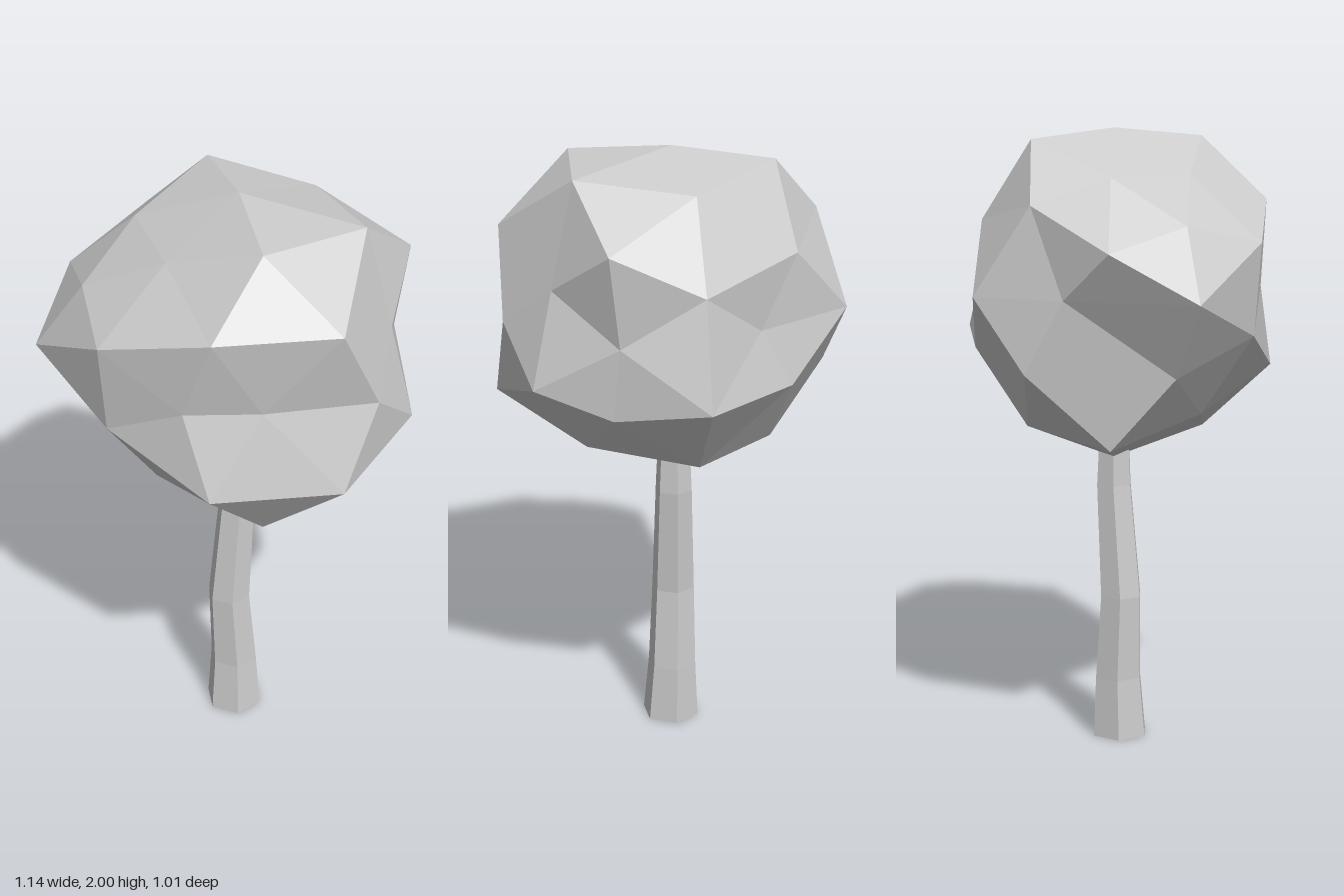
import * as THREE from 'three';
import { ConvexGeometry } from 'three/addons/geometries/ConvexGeometry.js';

const material = new THREE.MeshStandardMaterial({ color: 0xcccccc, flatShading: true });
const openMaterial = new THREE.MeshStandardMaterial({
  color: 0xcccccc, flatShading: true, side: THREE.DoubleSide,
});

// Trunk rings from the ground up: height, centre x, centre z, radius
const RINGS = [
  [0, -0.013, 0.018, 0.097],
  [0.2, -0.015, 0.013, 0.083],
  [0.48, -0.028, 0.022, 0.073],
  [0.85, -0.009, -0.001, 0.062],
  [1.0, -0.01, 0, 0.055],
];

// Corners of the leaf crown, measured from its centre
const CROWN_Y = 1.5;
const TOP = [
  [0, 0.5, 0], [0.4, 0.46, 0], [0.18, 0.47, 0.28], [-0.2, 0.47, -0.25],
  [0.15, 0.42, -0.27], [-0.34, 0.36, 0], [-0.14, 0.36, 0.24],
];
const SIDES = [
  [0.49, 0.14, 0], [0.57, -0.16, 0], [0.1, 0.27, 0.49], [0.1, -0.27, 0.51],
  [0.44, 0.27, 0.31], [0.46, -0.27, 0.32], [0.22, 0, 0.38], [0.52, 0, 0.2],
  [0, 0, 0.47], [0.47, 0.29, -0.24], [0.43, 0, -0.24], [-0.57, 0.15, 0],
  [-0.57, 0, 0.27], [-0.27, 0.16, 0.46], [-0.26, -0.13, 0.44], [-0.42, 0.22, 0.23],
  [0.3, -0.17, -0.5], [0.25, 0.16, -0.42], [-0.36, 0, -0.42], [-0.14, 0.22, -0.41],
  [0, 0, -0.4], [-0.1, -0.19, -0.44], [-0.4, 0.28, -0.24], [-0.46, 0, -0.14],
];
const BOTTOM = [
  [0.19, -0.49, 0.29], [-0.02, -0.56, 0], [-0.4, -0.47, 0], [-0.43, -0.24, 0.2],
  [-0.17, -0.39, 0.28], [0.15, -0.44, -0.29], [-0.18, -0.43, -0.27], [0.36, -0.4, 0],
  [-0.43, -0.23, -0.26], [0.44, -0.23, -0.22],
];

// Bent, tapering six-sided trunk, open at both ends
function createTrunk() {
  const last = RINGS.length - 1;
  const geometry = new THREE.CylinderGeometry(1, 1, 1, 6, last, true, Math.PI / 6);
  const p = geometry.attributes.position;
  for (let i = 0; i < p.count; i++) {
    const [y, cx, cz, r] = RINGS[Math.round((p.getY(i) + 0.5) * last)];
    p.setXYZ(i, cx + p.getX(i) * r, y, cz + p.getZ(i) * r);
  }
  geometry.computeVertexNormals();
  const mesh = new THREE.Mesh(geometry, openMaterial);
  mesh.name = 'trunk';
  return mesh;
}

// Faceted crown: join the corners on a unit sphere, then move each out to its own
// distance, which leaves shallow dents between the bumps
function createCrown() {
  const corners = [...TOP, ...SIDES, ...BOTTOM].map((c) => new THREE.Vector3(...c));
  const directions = corners.map((c) => c.clone().normalize());
  const geometry = new ConvexGeometry(directions);
  const p = geometry.attributes.position;
  const v = new THREE.Vector3();
  for (let i = 0; i < p.count; i++) {
    v.fromBufferAttribute(p, i);
    let best = 0;
    directions.forEach((d, k) => {
      if (d.dot(v) > directions[best].dot(v)) best = k;
    });
    p.setXYZ(i, corners[best].x, corners[best].y, corners[best].z);
  }
  geometry.computeVertexNormals();
  const mesh = new THREE.Mesh(geometry, material);
  mesh.name = 'leafCrown';
  mesh.position.y = CROWN_Y;
  return mesh;
}

export function createModel() {
  const tree = new THREE.Group();
  tree.name = 'tree';
  tree.add(createTrunk(), createCrown());
  return tree;
}
